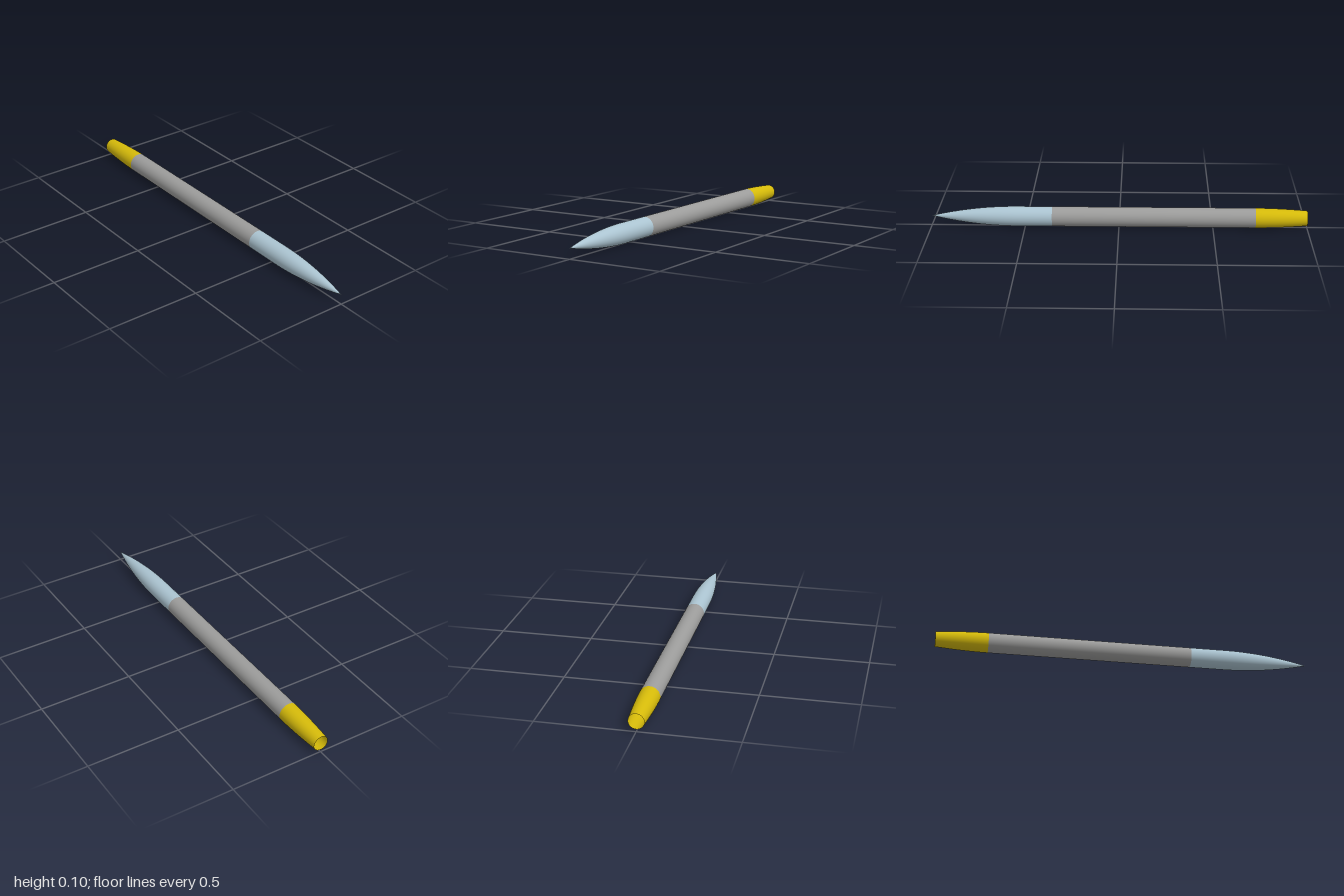
import * as THREE from 'three';

const R = 0.0525;      // body radius
const SEGMENTS = 48;

function material(name, color) {
  const m = new THREE.MeshStandardMaterial({ color, side: THREE.DoubleSide });
  m.name = name;
  return m;
}

// Open shell of revolution along z, its radius given by a rule
function shell(name, z0, z1, steps, radiusAt, mat) {
  const points = [];
  for (let i = 0; i <= steps; i++) {
    const z = z0 + (z1 - z0) * i / steps;
    points.push(new THREE.Vector2(radiusAt(z), z));
  }
  const geometry = new THREE.LatheGeometry(points, SEGMENTS);
  geometry.rotateX(Math.PI / 2);
  const mesh = new THREE.Mesh(geometry, mat);
  mesh.name = name;
  mesh.position.y = R;
  return mesh;
}

export function createModel() {
  const group = new THREE.Group();
  group.name = 'rocketBody';

  // Pointed nose: short cylinder easing into an ogive
  const noseRadius = z => R * (1 - Math.max(0, (z - 0.54) / 0.46) ** 2);
  group.add(shell('noseCone', 0.355, 1, 32, noseRadius, material('paleBlue', 0xabc4d1)));

  // Straight middle tube
  group.add(shell('bodyTube', -0.725, 0.355, 1, () => R, material('grey', 0x9c9c9b)));

  // Tapering tail, open at the back
  const tailRadius = z => R - 0.0125 * Math.max(0, (-0.725 - z) / 0.275) ** 1.8;
  group.add(shell('tailCone', -1, -0.725, 14, tailRadius, material('yellow', 0xd6bb0a)));

  return group;
}
